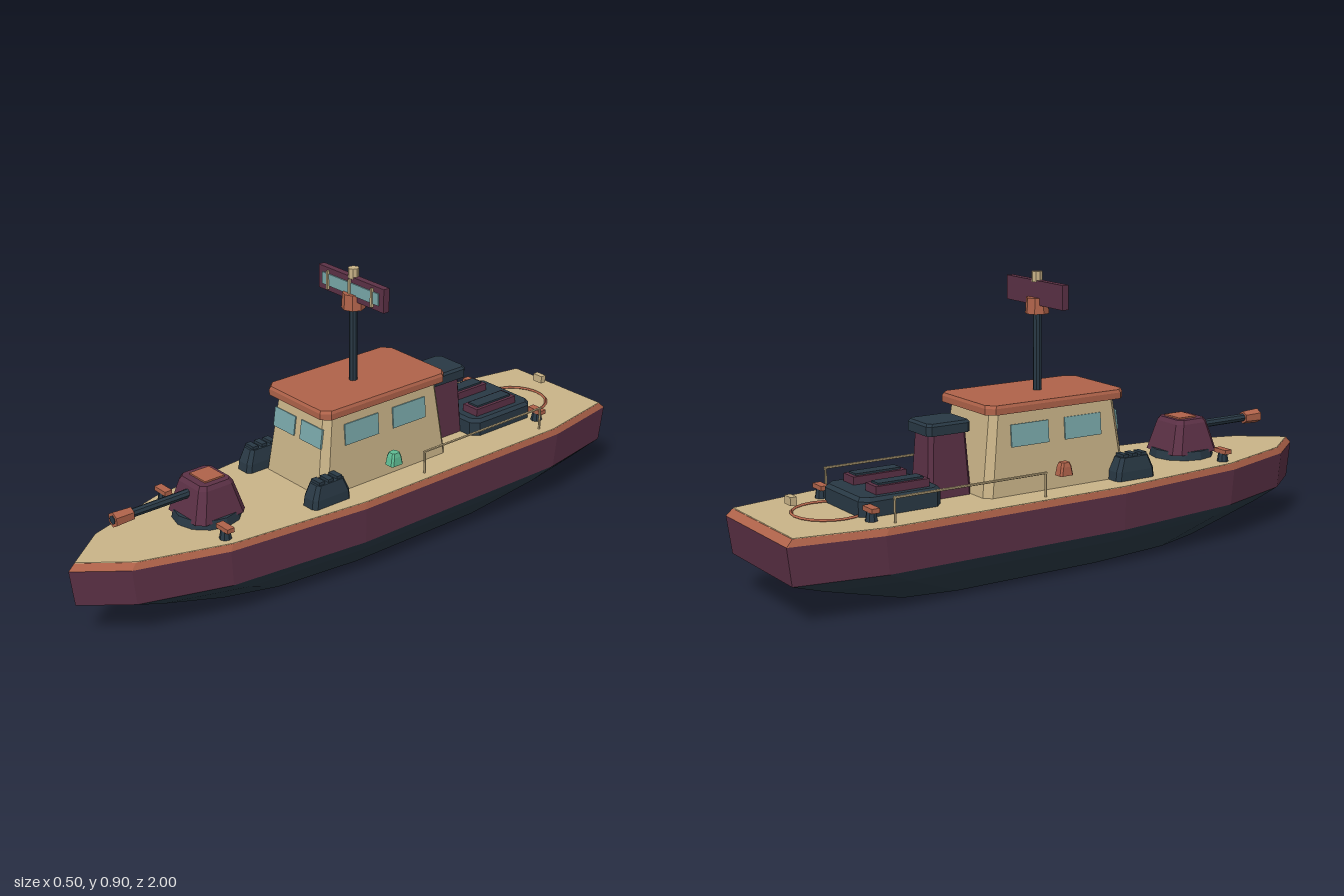
import * as THREE from 'three';

const mat = (name, color) => {
  const m = new THREE.MeshStandardMaterial({ color, flatShading: true });
  m.name = name;
  return m;
};

// Stack of matching convex outlines [[x, z], ...], closed with flat caps
function loft(levels) {
  const pos = [];
  const tri = (...p) => p.forEach((v) => pos.push(...v));
  const rings = levels.map(([y, pts]) => pts.map(([x, z]) => [x, y, z]));
  const n = rings[0].length;
  const mid = (r) => [0, 1, 2].map((k) => r.reduce((s, v) => s + v[k], 0) / n);
  const low = rings[0], top = rings[rings.length - 1];
  for (let i = 0; i < n; i++) {
    const j = (i + 1) % n;
    for (let l = 0; l + 1 < rings.length; l++) {
      const a = rings[l], b = rings[l + 1];
      tri(a[i], a[j], b[j]);
      tri(a[i], b[j], b[i]);
    }
    tri(mid(top), top[i], top[j]);
    tri(mid(low), low[j], low[i]);
  }
  const g = new THREE.BufferGeometry();
  g.setAttribute('position', new THREE.Float32BufferAttribute(pos, 3));
  g.computeVertexNormals();
  return g;
}

// Rectangle with cut corners, half sizes w and d
const octagon = (w, d, c) => [
  [-w + c, d], [w - c, d], [w, d - c], [w, -d + c],
  [w - c, -d], [-w + c, -d], [-w, -d + c], [-w, d - c]];

// Block from levels [y, halfWidth, halfDepth, cornerCut]
const block = (...levels) => loft(levels.map(([y, w, d, c]) => [y, octagon(w, d, c)]));

export function createModel() {
  const boat = new THREE.Group();
  boat.name = 'patrolBoat';
  const plum = mat('plum', 0x5c3146);
  const rust = mat('rust', 0xb0634a);
  const tan = mat('tan', 0xcab488);
  const slate = mat('slate', 0x293945);
  const glass = mat('glass', 0x7aa9ab);
  const green = mat('green', 0x5fbd94);

  const add = (name, geo, material, x = 0, y = 0, z = 0, parent = boat) => {
    const m = new THREE.Mesh(geo, material);
    m.name = name;
    m.position.set(x, y, z);
    parent.add(m);
    return m;
  };
  const box = (w, h, d) => new THREE.BoxGeometry(w, h, d);
  const cyl = (r0, r1, h, n) => new THREE.CylinderGeometry(r0, r1, h, n);

  // Hull: one outline scaled at each level
  const half = [[0.11, 0.86], [0.2, 0.58], [0.25, 0.11], [0.25, -0.72], [0.2, -1]];
  const outline = [[0, 1], ...half, ...half.map(([x, z]) => [-x, z]).reverse()];
  const level = (y, sx, sz = sx) => [y, outline.map(([x, z]) => [x * sx, z * sz])];
  add('lowerHull', loft([level(0, 0.61, 0.6), level(0.085, 0.91, 0.88), level(0.12, 0.985)]), slate);
  add('upperHull', loft([level(0.12, 0.985), level(0.235, 1)]), plum);
  add('gunwale', loft([level(0.235, 1), level(0.255, 0.98)]), rust);
  add('deck', loft([level(0.255, 0.979), level(0.257, 0.978)]), tan);

  // Cabin, roof and windows
  const cabin = new THREE.Group();
  cabin.name = 'cabin';
  cabin.position.z = -0.065;
  boat.add(cabin);
  add('cabinWalls', block([0.255, 0.145, 0.26, 0.022], [0.507, 0.125, 0.225, 0.02]), tan, 0, 0, 0, cabin);
  add('cabinRoof', block([0.507, 0.147, 0.25, 0.024], [0.526, 0.147, 0.25, 0.024], [0.535, 0.143, 0.246, 0.024]),
    rust, 0, 0, 0, cabin);
  for (const s of [-1, 1]) {
    const front = add('frontWindow', box(0.1, 0.062, 0.006), glass, s * 0.064, 0.435, 0.236, cabin);
    front.rotation.x = -0.139;
    for (const z of [0.095, -0.098]) {
      const side = add('sideWindow', box(0.006, 0.068, 0.134), glass, s * 0.1315, 0.435, z, cabin);
      side.rotation.z = s * 0.08;
    }
    // Navigation light, green to the left and rust to the right
    add('navigationLight', block([0.303, 0.019, 0.024, 0.006], [0.33, 0.017, 0.019, 0.006], [0.343, 0.013, 0.014, 0.005]),
      s > 0 ? green : rust, s * 0.173, 0, -0.002, cabin);
  }

  // Mast and radar
  const mast = new THREE.Group();
  mast.name = 'mast';
  mast.position.z = -0.048;
  boat.add(mast);
  add('mastPole', cyl(0.013, 0.013, 0.25, 8), slate, 0, 0.655, 0, mast);
  add('radarHub', cyl(0.034, 0.037, 0.049, 8), rust, 0, 0.796, 0, mast);
  add('radarPanel', box(0.302, 0.075, 0.022), plum, 0, 0.836, 0, mast);
  add('radarFace', box(0.26, 0.038, 0.006), glass, 0, 0.836, 0.012, mast);
  for (const x of [-0.102, 0, 0.102])
    add('radarBar', box(0.007, 0.06, 0.008), tan, x, 0.836, 0.016, mast);
  add('mastLamp', cyl(0.017, 0.017, 0.032, 8), tan, 0, 0.884, 0, mast);

  // Gun turret on the foredeck
  const turret = new THREE.Group();
  turret.name = 'turret';
  turret.position.z = 0.52;
  boat.add(turret);
  add('turretRing', cyl(0.1, 0.105, 0.028, 12), slate, 0, 0.27, 0, turret);
  add('turretBody', block([0.275, 0.09, 0.09, 0.022], [0.37, 0.068, 0.062, 0.018], [0.383, 0.06, 0.053, 0.015]),
    plum, 0, 0, 0, turret);
  add('turretHatch', box(0.078, 0.006, 0.07), rust, 0, 0.385, -0.005, turret);
  const barrel = add('gunBarrel', cyl(0.013, 0.014, 0.28, 8), slate, 0, 0.347, 0.187, turret);
  const muzzle = add('gunMuzzle', cyl(0.024, 0.021, 0.062, 6), rust, 0, 0.347, 0.294, turret);
  barrel.rotation.x = muzzle.rotation.x = Math.PI / 2;

  // Funnel behind the cabin
  add('funnel', block([0.255, 0.06, 0.075, 0.012], [0.452, 0.05, 0.063, 0.012]), plum, 0, 0, -0.395);
  add('funnelCap', block([0.45, 0.066, 0.074, 0.012], [0.478, 0.066, 0.074, 0.012], [0.486, 0.06, 0.068, 0.012]),
    slate, 0, 0, -0.4);

  // Engine hatch with two raised panels
  add('engineHatch', block([0.255, 0.127, 0.135, 0.024], [0.302, 0.127, 0.135, 0.024], [0.313, 0.118, 0.126, 0.022]),
    slate, 0, 0, -0.593);
  for (const x of [-0.068, 0.068]) {
    add('hatchPanel', box(0.064, 0.026, 0.176), plum, x, 0.324, -0.58);
    add('hatchPanelInset', box(0.042, 0.008, 0.15), slate, x, 0.339, -0.58);
  }

  // Deck ring and small stern lamp
  const ring = add('deckRing', new THREE.TorusGeometry(0.107, 0.005, 4, 20), rust, 0, 0.259, -0.77);
  ring.rotation.x = -Math.PI / 2;
  add('sternLamp', box(0.038, 0.025, 0.02), tan, 0, 0.309, -0.888);

  for (const s of [-1, 1]) {
    // Lockers beside the cabin, with ribs on the lid
    add('locker', block([0.255, 0.033, 0.073, 0.012], [0.285, 0.032, 0.07, 0.012], [0.328, 0.025, 0.052, 0.01]),
      slate, s * 0.162, 0, 0.193);
    for (const z of [-0.034, 0, 0.034])
      add('lockerRib', box(0.04, 0.014, 0.02), slate, s * 0.162, 0.33, 0.193 + z);

    // Bollards fore and aft
    for (const z of [0.567, -0.715]) {
      add('bollardPost', cyl(0.014, 0.019, 0.03, 8), slate, s * 0.156, 0.271, z);
      add('bollardCap', box(0.056, 0.014, 0.026), rust, s * 0.156, 0.291, z);
    }

    // Railings along the aft deck
    for (const z of [-0.16, -0.67])
      add('railPost', cyl(0.004, 0.004, 0.075, 6), tan, s * 0.212, 0.292, z);
    const rail = add('handrail', cyl(0.004, 0.004, 0.518, 6), tan, s * 0.212, 0.33, -0.415);
    rail.rotation.x = Math.PI / 2;
  }
  // Dark bore at the muzzle
  const bore = add('gunBore', cyl(0.014, 0.014, 0.004, 6), slate, 0, 0.347, 0.325, turret);
  bore.rotation.x = Math.PI / 2;
  return boat;
}
